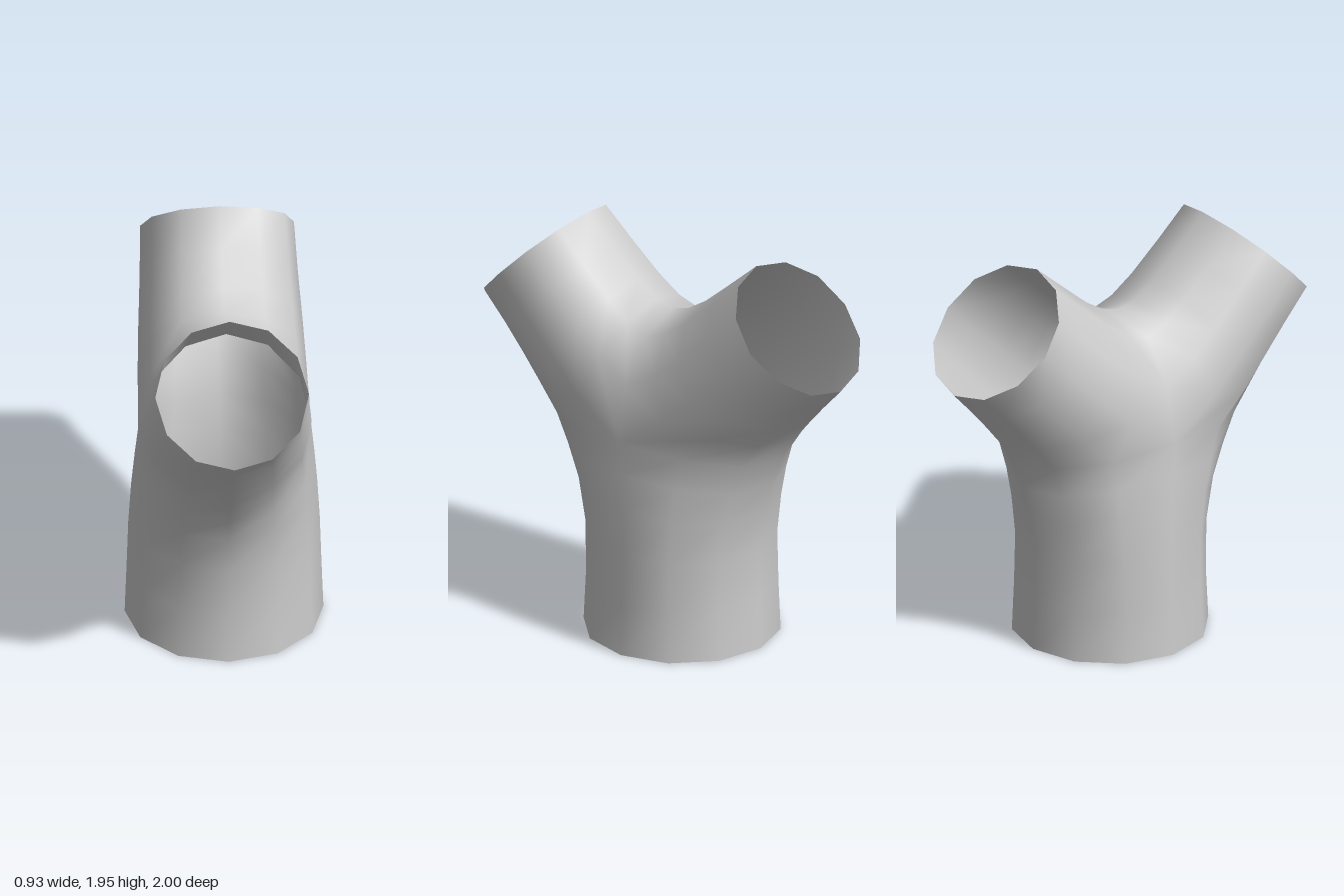
import * as THREE from 'three';
import { mergeVertices } from 'three/addons/utils/BufferGeometryUtils.js';

const HALF = 6; // segments around half a pipe (12-sided pipes)

// Seam on the +x side, [x, y, z]: up the trunk to the fork, then out along one arm
const trunkSeam = [[0.465, 0, -0.06], [0.456, 0.25, -0.06], [0.448, 0.5, -0.058],
  [0.435, 0.72, -0.045], [0.42, 0.9, -0.02]];
const fork = [0.405, 1.05, 0];
const armSeam = [[0.395, 1.22, 0.25], [0.385, 1.36, 0.4], [0.37, 1.53, 0.58], [0.36, 1.695, 0.745]];

// Centre-line profiles on x = 0, [y, z]
const frontProfile = [[0, 0.405], [0.25, 0.392], [0.5, 0.4], [0.7, 0.45], [0.85, 0.525],
  [0.98, 0.605], [1.11, 0.695], [1.22, 0.785], [1.33, 0.885], [1.445, 1]];
const backProfile = [[0, -0.525], [0.25, -0.514], [0.5, -0.51], [0.7, -0.545], [0.85, -0.59],
  [1.0, -0.65], [1.13, -0.73], [1.23, -0.81], [1.33, -0.895], [1.445, -1]];
const saddleProfile = [[1.95, 0.5], [1.81, 0.34], [1.69, 0.2], [1.62, 0.09], [1.6, 0]];

const mirrorSeam = (points) => points.map(([x, y, z]) => [x, y, -z]);
const mirrorProfile = (points) => points.map(([y, z]) => [y, -z]);

// Half-pipe sheet: each row is a half ellipse from the seam over the profile to the other seam
function addSheet(positions, indices, seam, profile) {
  const base = positions.length / 3;
  seam.forEach(([sx, sy, sz], i) => {
    const [my, mz] = profile[i];
    for (let j = 0; j <= HALF; j++) {
      const a = (j / HALF) * Math.PI;
      const s = Math.sin(a);
      positions.push(sx * Math.cos(a), sy + (my - sy) * s, sz + (mz - sz) * s);
    }
  });
  for (let i = 0; i < seam.length - 1; i++) {
    for (let j = 0; j < HALF; j++) {
      const a = base + i * (HALF + 1) + j;
      const b = a + HALF + 1;
      indices.push(a, b, a + 1, b, b + 1, a + 1);
    }
  }
}

export function createModel() {
  const positions = [];
  const indices = [];
  const backArmSeam = mirrorSeam(armSeam);

  // Front of the trunk running into the underside of the front arm
  addSheet(positions, indices, [...trunkSeam, fork, ...armSeam], frontProfile);
  // Back of the trunk running into the underside of the back arm
  addSheet(positions, indices, [...trunkSeam, fork, ...backArmSeam].reverse(), [...backProfile].reverse());
  // Saddle joining the upper halves of both arms
  addSheet(positions, indices,
    [...[...armSeam].reverse(), fork, ...backArmSeam],
    [...saddleProfile, ...mirrorProfile(saddleProfile.slice(0, -1)).reverse()]);

  // Weld the seams so the shading runs smoothly across them
  let geometry = new THREE.BufferGeometry();
  geometry.setAttribute('position', new THREE.Float32BufferAttribute(positions, 3));
  geometry.setIndex(indices);
  geometry = mergeVertices(geometry, 1e-4);
  geometry.computeVertexNormals();

  const pipe = new THREE.Mesh(geometry,
    new THREE.MeshStandardMaterial({ color: 0xcccccc, side: THREE.DoubleSide }));
  pipe.name = 'forkedPipe';

  const group = new THREE.Group();
  group.name = 'yPipe';
  group.add(pipe);
  return group;
}
